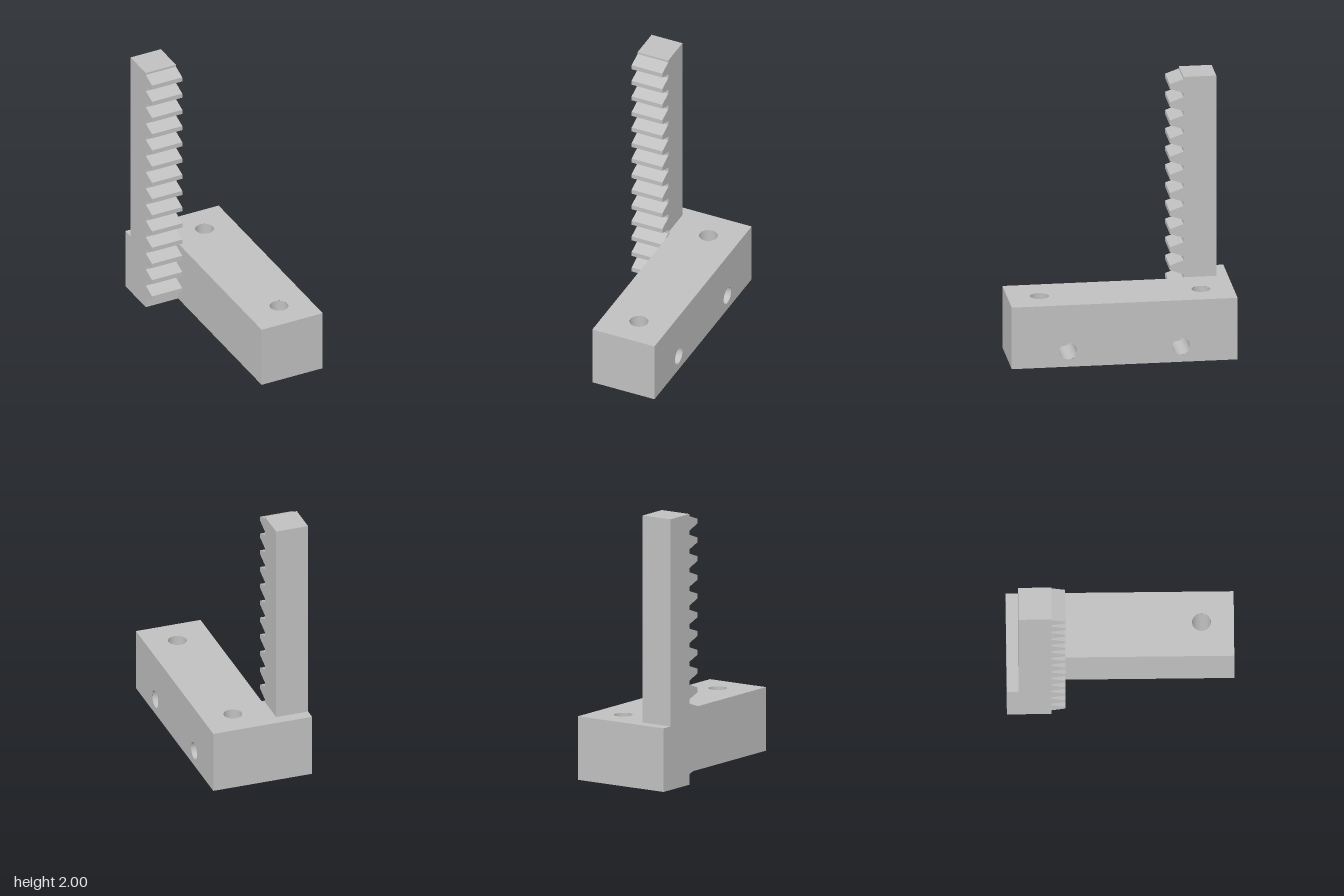
import * as THREE from 'three';
import { mergeGeometries, toCreasedNormals } from 'three/addons/utils/BufferGeometryUtils.js';

const SEG = 32;
const BASE_H = 0.47;
// Base outline as [x, z], counter-clockwise seen from above
const OUTLINE = [[-0.117, 0.825], [0.38, 0.825], [0.38, -0.825], [-0.38, -0.825], [-0.38, -0.5], [-0.117, -0.5]];
const BOLT = { x: 0.145, z: 0.59, r: 0.068 };
const SIDE = { y: 0.12, z: 0.413, r: 0.064, depth: 0.3 };

// Flat face from 2D points, with round holes [x, y, radius]
function face(points, holes = []) {
  const shape = new THREE.Shape(points.map(([x, y]) => new THREE.Vector2(x, y)));
  for (const [x, y, r] of holes) shape.holes.push(new THREE.Path().absarc(x, y, r, 0, Math.PI * 2, true));
  return new THREE.ShapeGeometry(shape, SEG);
}

// Upright wall along one edge of the outline, facing outward
function wall([x1, z1], [x2, z2], holes) {
  const len = Math.hypot(x2 - x1, z2 - z1);
  return face([[0, 0], [len, 0], [len, BASE_H], [0, BASE_H]], holes)
    .rotateY(Math.atan2(z1 - z2, x2 - x1))
    .translate(x1, 0, z1);
}

// Inward-facing bore running down from y = 0, optionally with a floor
function bore(r, depth, blind) {
  const profile = [new THREE.Vector2(r, 0), new THREE.Vector2(r, -depth)];
  if (blind) profile.push(new THREE.Vector2(0, -depth));
  return toCreasedNormals(new THREE.LatheGeometry(profile, SEG), 0.6);
}

export function createModel() {
  const model = new THREE.Group();
  model.name = 'rackOnBlock';
  const grey = new THREE.MeshStandardMaterial({ color: 0xc0c0c0 });
  grey.name = 'grey';
  const add = (name, geometry, parent = model) => {
    const mesh = new THREE.Mesh(geometry, grey);
    mesh.name = name;
    parent.add(mesh);
    return mesh;
  };

  // L-shaped base block with two through holes and two blind side holes
  const base = new THREE.Group();
  base.name = 'base';
  model.add(base);
  const bolts = [-1, 1].map((s) => [BOLT.x, s * BOLT.z, BOLT.r]);
  add('baseTop', face(OUTLINE.map(([x, z]) => [x, -z]), bolts).rotateX(-Math.PI / 2).translate(0, BASE_H, 0), base);
  add('baseBottom', face(OUTLINE, bolts).rotateX(Math.PI / 2), base);
  const sideHoles = [-1, 1].map((s) => [0.825 + s * SIDE.z, SIDE.y, SIDE.r]);
  add('baseWalls', mergeGeometries(OUTLINE.map((p, i) =>
    wall(p, OUTLINE[(i + 1) % OUTLINE.length], i === 1 ? sideHoles : []))), base);
  for (const s of [-1, 1]) {
    add('boltHole', bore(BOLT.r, BASE_H, false), base).position.set(BOLT.x, BASE_H, s * BOLT.z);
    add('sideHole', bore(SIDE.r, SIDE.depth, true).rotateZ(-Math.PI / 2), base).position.set(0.38, SIDE.y, s * SIDE.z);
  }

  // Upright rack bar above the base
  const right = -0.134, width = 0.246, back = -0.74, front = -0.5;
  add('rackBar', new THREE.BoxGeometry(width, 2 - BASE_H, front - back)
    .translate(right - width / 2, (2 + BASE_H) / 2, (front + back) / 2));

  // Row of tapered teeth down the front of the bar and base
  const profile = [[front, -0.053], [-0.4, -0.0175], [-0.4, 0.0175], [front, 0.053]];
  const tooth = new THREE.ExtrudeGeometry(
    new THREE.Shape(profile.map(([z, y]) => new THREE.Vector2(z, y))),
    { depth: width, bevelEnabled: false }
  ).rotateY(-Math.PI / 2).translate(right, 0, 0);
  const teeth = new THREE.Group();
  teeth.name = 'rackTeeth';
  model.add(teeth);
  for (let i = 0; i < 14; i++) add('tooth', tooth, teeth).position.y = 1.931 - i * 0.1385;

  return model;
}
